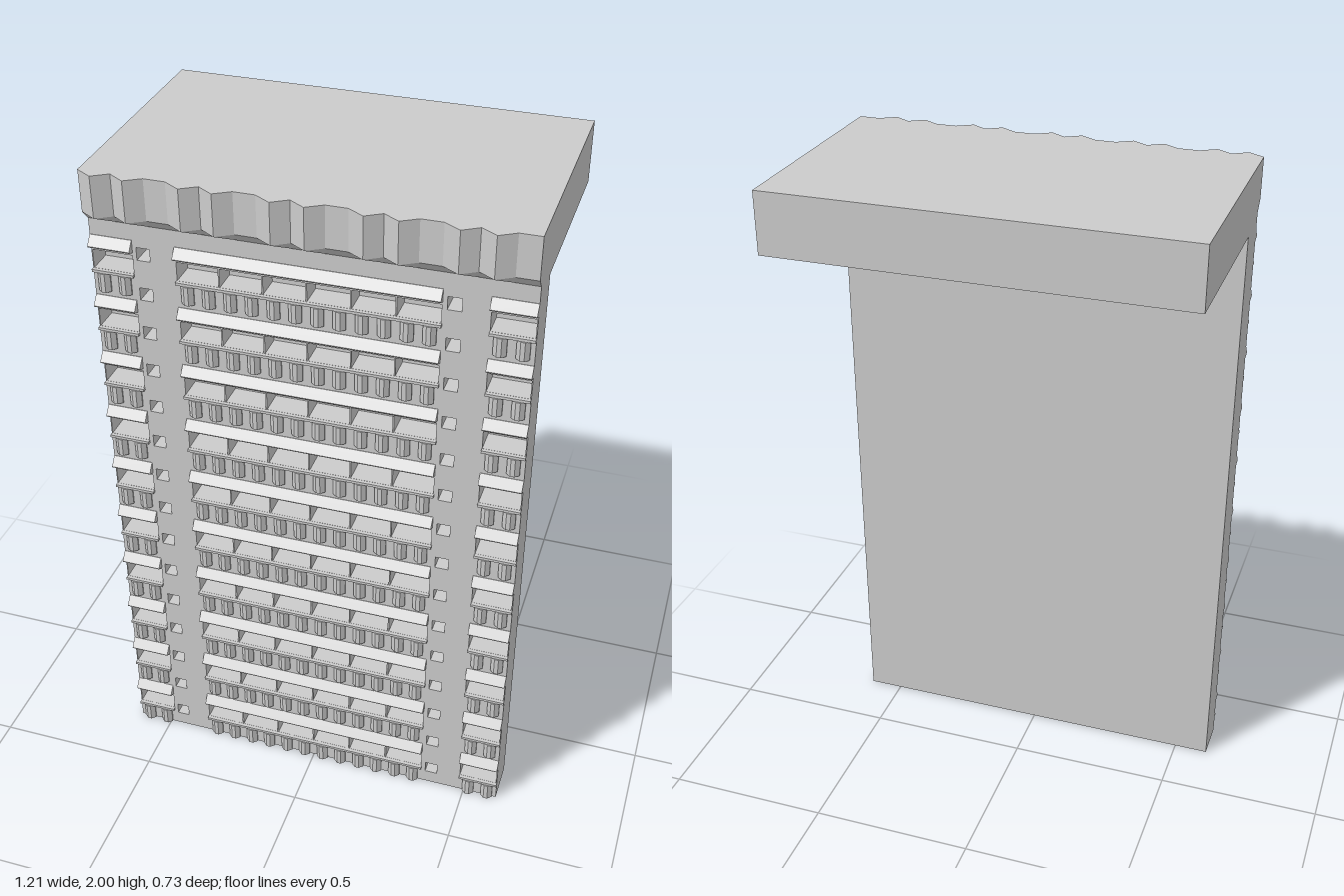
import * as THREE from 'three';

const W = 0.605, BACK = 0.185, FRONT = 0.307, FLOORS = 10, PITCH = 0.1818;
const mat = new THREE.MeshStandardMaterial({ color: 0xcccccc, flatShading: true });

// Bay layout: six in the middle, one at each edge
const bays = [];
for (let i = 0; i < 6; i++) bays.push({ x: -0.3035 + i * 0.1208, w: 0.1168 });
bays.push({ x: -0.544, w: 0.116 }, { x: 0.544, w: 0.116 });
// Continuous runs used by canopies and ledges
const runs = [{ x: -0.0015, w: 0.725 }, { x: -0.545, w: 0.12 }, { x: 0.545, w: 0.12 }];

function add(parent, name, geo, x = 0, y = 0, z = 0) {
  const mesh = new THREE.Mesh(geo, mat);
  mesh.name = name;
  mesh.position.set(x, y, z);
  parent.add(mesh);
  return mesh;
}

function box(parent, name, x0, x1, y0, y1, z0, z1) {
  return add(parent, name, new THREE.BoxGeometry(x1 - x0, y1 - y0, z1 - z0),
    (x0 + x1) / 2, (y0 + y1) / 2, (z0 + z1) / 2);
}

function rectHole(cx, cy, w, h) {
  const p = new THREE.Path();
  p.moveTo(cx - w / 2, cy - h / 2);
  p.lineTo(cx - w / 2, cy + h / 2);
  p.lineTo(cx + w / 2, cy + h / 2);
  p.lineTo(cx + w / 2, cy - h / 2);
  p.closePath();
  return p;
}

// Plan outline (x, z) extruded upward from y0
function planExtrude(points, y0, h) {
  const shape = new THREE.Shape(points.map(([x, z]) => new THREE.Vector2(x, -z)));
  const g = new THREE.ExtrudeGeometry(shape, { depth: h, bevelEnabled: false });
  g.rotateX(-Math.PI / 2);
  g.translate(0, y0, 0);
  return g;
}

// Side profile (z, y) extruded across x, centred
function sideExtrude(points, w) {
  const shape = new THREE.Shape(points.map(([z, y]) => new THREE.Vector2(-z, y)));
  const g = new THREE.ExtrudeGeometry(shape, { depth: w, bevelEnabled: false });
  g.translate(0, 0, -w / 2);
  g.rotateY(Math.PI / 2);
  return g;
}

// Wall: solid back with a pierced front layer
function buildWall(parent) {
  const inner = 0.235;
  box(parent, 'wallBack', -W, W, 0, 1.86, BACK, inner);
  const shape = new THREE.Shape([
    new THREE.Vector2(-W, 0), new THREE.Vector2(W, 0),
    new THREE.Vector2(W, 1.86), new THREE.Vector2(-W, 1.86)]);
  for (let f = 0; f < FLOORS; f++)
    for (const b of bays) shape.holes.push(rectHole(b.x, f * PITCH + 0.092, b.w, 0.055));
  for (let i = 0; i < 15; i++)
    for (const x of [-0.455, 0.392]) shape.holes.push(rectHole(x, 0.063 + i * 0.1214, 0.038, 0.038));
  add(parent, 'wallFront',
    new THREE.ExtrudeGeometry(shape, { depth: FRONT - inner, bevelEnabled: false }), 0, 0, inner);
}

// Each storey: faceted ribs, a sill and a sloping canopy
function buildStorey(parent, f) {
  const g = new THREE.Group();
  g.name = 'storey';
  g.position.y = f * PITCH;
  const rib = planExtrude([[-0.018, 0.3], [0.018, 0.3], [0.018, 0.311],
    [0.006, 0.322], [-0.006, 0.322], [-0.018, 0.311]], 0, 0.056);
  for (const b of bays)
    for (const s of [-1, 1]) add(g, 'rib', rib, b.x + s * 0.03);
  for (const r of runs) {
    box(g, 'sill', r.x - r.w / 2, r.x + r.w / 2, 0.056, 0.064, 0.3, 0.318);
    add(g, 'canopy', sideExtrude(
      [[0.3, 0.167], [0.308, 0.165], [0.329, 0.139], [0.327, 0.135], [0.308, 0.128], [0.3, 0.128]], r.w), r.x);
  }
  parent.add(g);
}

// Roof slab with a zigzag fascia that tapers back to the wall
function buildRoof(parent) {
  box(parent, 'roofSlab', -W, W, 1.82, 2, -0.363, BACK);
  const pts = [[W, BACK], [-W, BACK]];
  const step = 2 * W / 5;
  for (let i = 0; i < 5; i++)
    [[0, 0.335], [0.19, 0.363], [0.375, 0.335], [0.56, 0.363], [0.75, 0.335]]
      .forEach(([t, z]) => pts.push([-W + (i + t) * step, z]));
  pts.push([W, 0.335]);
  add(parent, 'fascia', planExtrude(pts, 1.88, 0.12));
  const taper = planExtrude(pts, 1.85, 0.03);
  const p = taper.attributes.position;
  for (let i = 0; i < p.count; i++)
    if (p.getY(i) < 1.86) p.setZ(i, Math.min(p.getZ(i), FRONT + 0.001));
  taper.computeVertexNormals();
  add(parent, 'fasciaTaper', taper);
}

export function createModel() {
  const model = new THREE.Group();
  model.name = 'apartmentFacade';
  buildWall(model);
  for (let f = 0; f < FLOORS; f++) buildStorey(model, f);
  buildRoof(model);
  return model;
}
